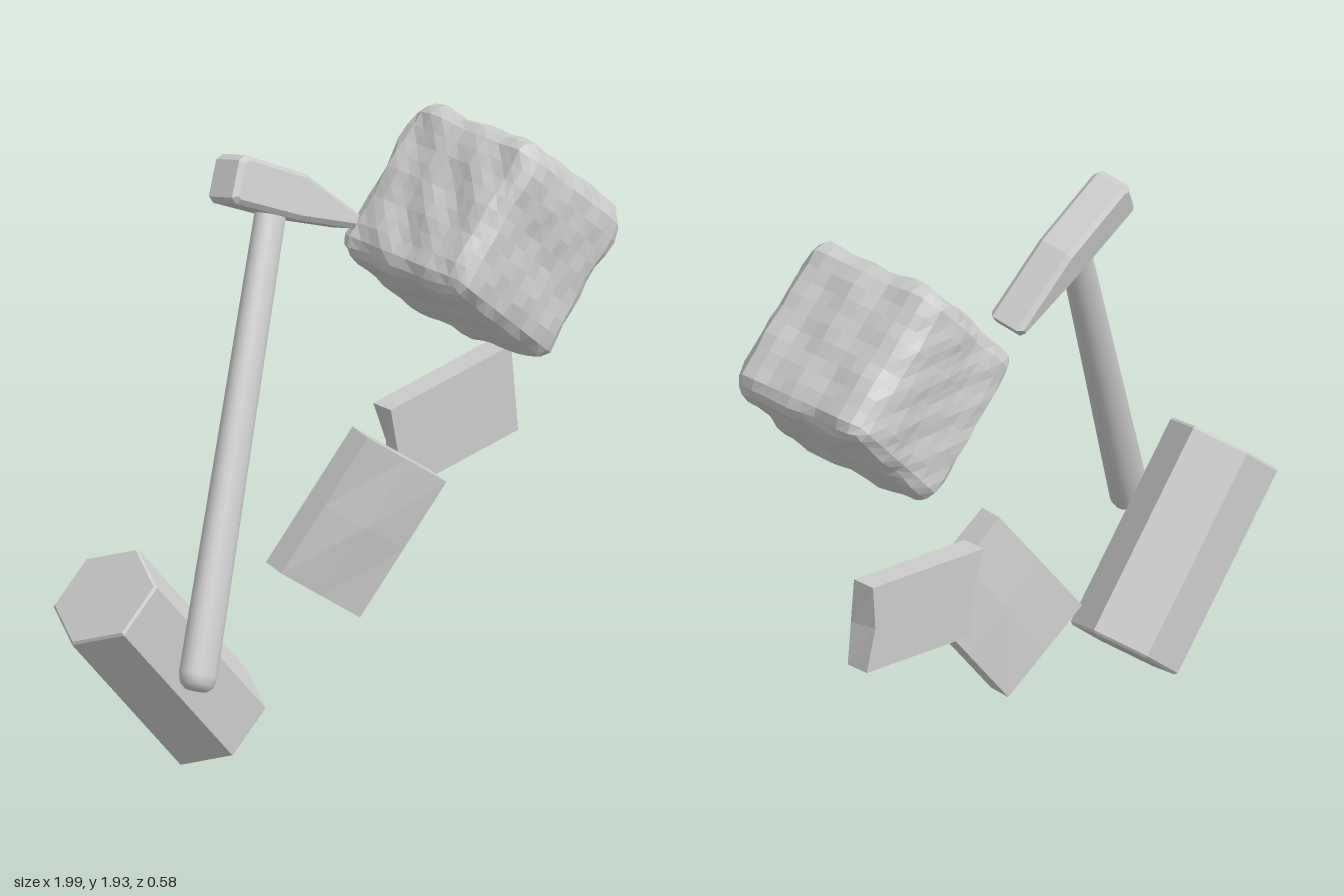
import * as THREE from 'three';

const V = (x, y, z) => new THREE.Vector3(x, y, z);
const flat = () => new THREE.MeshStandardMaterial({ color: 0xcccccc, flatShading: true });
const smooth = () => new THREE.MeshStandardMaterial({ color: 0xcccccc });

// Puts an object at pos with its local x and y turned to the given directions
function place(obj, pos, xDir, yDir) {
  const y = yDir.clone().normalize();
  const z = xDir.clone().cross(y).normalize();
  const x = y.clone().cross(z);
  obj.quaternion.setFromRotationMatrix(new THREE.Matrix4().makeBasis(x, y, z));
  obj.position.copy(pos);
  return obj;
}

function mesh(name, geometry, material) {
  const m = new THREE.Mesh(geometry, material);
  m.name = name;
  return m;
}

// Moves every vertex by a rule
function deform(geometry, rule) {
  const p = geometry.attributes.position;
  const v = V(0, 0, 0);
  for (let i = 0; i < p.count; i++) {
    rule(v.fromBufferAttribute(p, i));
    p.setXYZ(i, v.x, v.y, v.z);
  }
  geometry.computeVertexNormals();
  return geometry;
}

// Rough-hewn cube: rounded edges and an uneven, chipped surface
function roughBlock() {
  const half = 0.277, radius = 0.07, inner = half - radius;
  const geo = new THREE.BoxGeometry(2 * half, 2 * half, 2 * half, 11, 11, 11);
  const low = V(-inner, -inner, -inner), high = V(inner, inner, inner);
  return deform(geo, (v) => {
    const core = v.clone().clamp(low, high);
    const n = v.clone().sub(core).normalize();
    const bump = Math.sin(v.x * 31 + v.y * 13) * Math.sin(v.y * 27 - v.z * 17 + 1)
      + Math.sin(v.z * 33 + v.x * 19 + 2) * 0.8;
    v.copy(core).addScaledVector(n, radius + bump * 0.006);
  });
}

// Six-sided column with slightly worn end edges
function hexColumn(radius, length) {
  const h = length / 2, b = 0.008;
  const profile = [[0, -h], [radius - b, -h], [radius, -h + b], [radius, h - b], [radius - b, h], [0, h]];
  return new THREE.LatheGeometry(profile.map(([x, y]) => new THREE.Vector2(x, y)), 6);
}

// Tapered oval handle with a rounded butt, running up from y = 0
function handleGeometry(length) {
  const profile = [[0, 0], [0.04, 0.004], [0.06, 0.02], [0.069, 0.05], [0.067, 0.3], [0.062, 0.8], [0.056, length], [0, length]];
  const geo = new THREE.LatheGeometry(profile.map(([x, y]) => new THREE.Vector2(x, y)), 20);
  return geo.scale(1, 1, 0.75);
}

// Hammer head: square striking end and a wedge-shaped peen
function headGeometry() {
  const b = 0.015, depth = 0.125;
  const outline = [[-0.222, -0.05], [-0.21, -0.058], [0.08, -0.053], [0.33, -0.03], [0.335, -0.008],
    [0.075, 0.064], [-0.2, 0.068], [-0.216, 0.055]];
  const shape = new THREE.Shape(outline.map(([x, y]) => new THREE.Vector2(x, y)));
  const geo = new THREE.ExtrudeGeometry(shape, {
    depth: depth - 2 * b, bevelEnabled: true, bevelSize: b, bevelThickness: b, bevelSegments: 1,
  });
  return geo.translate(0, 0, b - depth / 2);
}

export function createModel() {
  const model = new THREE.Group();
  model.name = 'hammerAndStones';

  // Hammer, leaning diagonally with its butt toward the front
  const butt = V(-0.75, 0.4, 0.175), headCentre = V(-0.06, 1.76, -0.213);
  const along = headCentre.clone().sub(butt);
  const hammer = new THREE.Group();
  hammer.name = 'hammer';
  const head = mesh('hammerHead', headGeometry(), flat());
  head.position.y = along.length();
  hammer.add(mesh('hammerHandle', handleGeometry(along.length() - 0.02), smooth()), head);
  model.add(place(hammer, butt, V(0.89, -0.45, 0), along));

  // Cube stone standing on an edge
  const cube = mesh('roughStone', roughBlock(), flat());
  cube.position.set(0.626, 1.505, 0);
  cube.rotation.z = THREE.MathUtils.degToRad(48);
  model.add(cube);

  // Hexagonal column behind the handle
  const column = mesh('hexStone', hexColumn(0.185, 0.715), flat());
  model.add(place(column, V(-0.628, 0.392, -0.12), V(0, 0, 1), V(-0.466, 0.538, 0)));

  // Tilted slab with faintly domed faces
  const slabGeo = deform(new THREE.BoxGeometry(0.37, 0.5, 0.09, 2, 2, 1), (v) => {
    if (Math.abs(v.x) < 0.01 && Math.abs(v.y) < 0.01) v.z *= 1.25;
  });
  const slab = mesh('tiltedSlab', slabGeo, flat());
  model.add(place(slab, V(0.25, 0.585, -0.17), V(0.3, -0.22, 0.04), V(0.29, 0.41, 0.09)));

  // Upright slab, one long side shorter, ends chipped at the back
  const brickGeo = deform(new THREE.BoxGeometry(0.5, 0.293, 0.08, 1, 2, 1), (v) => {
    v.x *= 1 + v.y * 0.2;
    if (v.z < 0 && Math.abs(v.y) < 0.01) v.x *= 0.9;
  });
  const brick = mesh('flatSlab', brickGeo, flat());
  brick.position.set(0.705, 0.792, -0.245);
  brick.rotation.z = THREE.MathUtils.degToRad(8.5);
  model.add(brick);

  return model;
}
